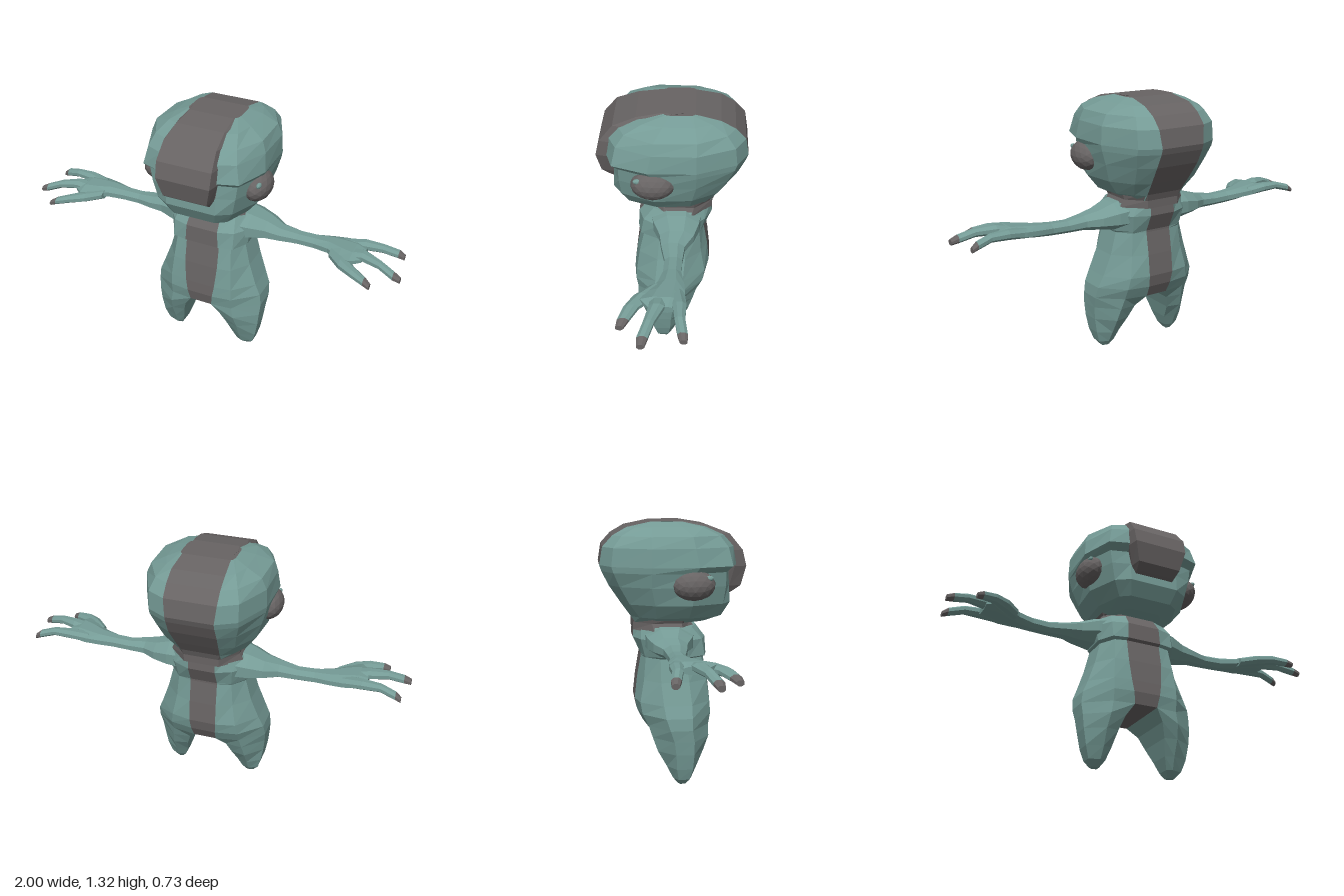
import * as THREE from 'three';

const skin = new THREE.MeshStandardMaterial({ color: 0x759b96, flatShading: true });
skin.name = 'tealSkin';
const grey = new THREE.MeshStandardMaterial({ color: 0x676363, flatShading: true });
grey.name = 'greyMarking';

// Skin a list of closed rings; paint(ring, side) returns 0 for skin, 1 for grey.
function loft(name, rings, paint = () => 0, capStart = 0, capEnd = 0) {
  const tris = [[], []];
  const add = (m, a, b, c) => tris[m].push([a, b, c]);
  const n = rings[0].length;
  for (let r = 0; r < rings.length - 1; r++) {
    for (let i = 0; i < n; i++) {
      const j = (i + 1) % n, m = paint(r, i);
      add(m, rings[r][i], rings[r][j], rings[r + 1][j]);
      add(m, rings[r][i], rings[r + 1][j], rings[r + 1][i]);
    }
  }
  const cap = (ring, m, flip) => {
    const c = [0, 1, 2].map(k => ring.reduce((s, p) => s + p[k], 0) / n);
    ring.forEach((p, i) => {
      const q = ring[(i + 1) % n];
      flip ? add(m, c, q, p) : add(m, c, p, q);
    });
  };
  cap(rings[0], capStart, true);
  cap(rings[rings.length - 1], capEnd, false);
  // Turn every face outward using the sign of the enclosed volume
  let volume = 0;
  for (const [a, b, c] of tris.flat()) {
    volume += a[0] * (b[1] * c[2] - b[2] * c[1]) + a[1] * (b[2] * c[0] - b[0] * c[2])
      + a[2] * (b[0] * c[1] - b[1] * c[0]);
  }
  const g = new THREE.BufferGeometry();
  const pos = [];
  tris.forEach((list, m) => {
    const start = pos.length / 3;
    for (const [a, b, c] of list) pos.push(...a, ...(volume > 0 ? b : c), ...(volume > 0 ? c : b));
    if (list.length) g.addGroup(start, list.length * 3, m);
  });
  g.setAttribute('position', new THREE.Float32BufferAttribute(pos, 3));
  g.computeVertexNormals();
  const mesh = new THREE.Mesh(g, [skin, grey]);
  mesh.name = name;
  return mesh;
}

// Full ring at height y from a right-hand half outline, front to back
const mirrored = (y, half) => [
  ...half.map(([x, z]) => [x, y, z]),
  ...[...half].reverse().map(([x, z]) => [-x, y, z]),
];

// Limb running along x from stations [x, y, z, half height, half depth]
function limb(name, side, stations, tip = false) {
  const rings = stations.map(([x, y, z, ry, rz]) => Array.from({ length: 8 }, (_, i) => {
    const a = (i + 0.5) * Math.PI / 4;
    return [side * x, y + ry * Math.sin(a) * 1.06, z + rz * Math.cos(a) * 1.06];
  }));
  const last = stations.length - 2;
  return loft(name, rings, r => (tip && r === last ? 1 : 0), 0, tip ? 1 : 0);
}

export function createModel() {
  const model = new THREE.Group();
  model.name = 'creature';

  // Head, with a grey band over the crown and down the back
  const head = [
    [0.82, [[.08, .17], [.11, .14], [.15, .05], [.15, -.08], [.12, -.16], [.10, -.19]]],
    [0.85, [[.11, .245], [.16, .21], [.21, .07], [.20, -.09], [.15, -.17], [.10, -.21]]],
    [0.92, [[.13, .285], [.20, .24], [.265, .08], [.25, -.10], [.18, -.22], [.11, -.26]]],
    [1.01, [[.13, .28], [.22, .25], [.285, .09], [.28, -.12], [.20, -.27], [.12, -.32]]],
    [1.08, [[.14, .275], [.23, .25], [.295, .09], [.30, -.12], [.22, -.30], [.12, -.355]]],
    [1.11, [[.14, .315], [.25, .28], [.31, .11], [.305, -.12], [.22, -.31], [.12, -.365]]],
    [1.20, [[.14, .30], [.23, .26], [.30, .09], [.30, -.12], [.22, -.30], [.13, -.35]]],
    [1.255, [[.14, .25], [.21, .22], [.28, .08], [.275, -.12], [.20, -.26], [.13, -.30]]],
    [1.295, [[.13, .16], [.18, .14], [.20, .04], [.20, -.11], [.17, -.19], [.13, -.23]]],
    [1.32, [[.12, .04], [.13, .03], [.135, .01], [.135, -.08], [.13, -.10], [.12, -.11]]],
  ];
  model.add(loft('head', head.map(([y, h]) => mirrored(y, h)),
    (r, i) => (i === 5 || (i === 11 && r > 2) ? 1 : 0), 0, 1));

  // Raised forehead plate: [height, half width, front depth]
  const plate = [[.955, .11, .27], [.97, .115, .30], [1.0, .125, .342], [1.10, .152, .365],
    [1.18, .155, .345], [1.26, .147, .28], [1.302, .135, .17], [1.322, .125, .05]];
  model.add(loft('foreheadPlate', plate.map(([y, w, z]) =>
    mirrored(y, [[w * .92, z], [w, z - .06], [w * .9, z - .12]])), () => 1, 1, 1));

  // Neck collar
  model.add(loft('neck', [
    mirrored(.78, [[.09, .12], [.19, .04], [.19, -.10], [.09, -.20]]),
    mirrored(.82, [[.09, .09], [.17, .04], [.17, -.11], [.09, -.20]]),
    mirrored(.86, [[.11, .12], [.19, .05], [.18, -.11], [.10, -.215]]),
  ], () => 1, 1, 1));

  // Torso, with grey stripes down the belly and the back
  const hips = [[.06, .185], [.17, .175], [.297, .08], [.297, -.03], [.18, -.13], [.06, -.15]];
  const torso = [
    [.30, hips],
    [.36, [[.07, .197], [.17, .185], [.29, .08], [.29, -.05], [.18, -.16], [.065, -.18]]],
    [.42, [[.08, .192], [.17, .18], [.265, .08], [.265, -.06], [.17, -.17], [.07, -.192]]],
    [.53, [[.09, .178], [.16, .165], [.225, .07], [.225, -.07], [.15, -.15], [.07, -.18]]],
    [.645, [[.09, .155], [.15, .14], [.195, .06], [.195, -.07], [.14, -.14], [.07, -.16]]],
    [.655, [[.09, .17], [.165, .155], [.21, .07], [.205, -.07], [.14, -.145], [.07, -.16]]],
    [.74, [[.085, .165], [.165, .14], [.22, .06], [.22, -.09], [.15, -.165], [.07, -.20]]],
    [.80, [[.08, .12], [.15, .09], [.18, .04], [.18, -.10], [.12, -.16], [.07, -.195]]],
  ];
  model.add(loft('torso', torso.map(([y, h]) => mirrored(y, h)),
    (r, i) => (i === 5 || i === 11 ? 1 : 0), 1, 0));

  for (const s of [1, -1]) {
    const sideName = s > 0 ? 'left' : 'right';

    // Leg, tapering from the hip outline to a small blunt foot
    const leg = [
      [.30, hips],
      [.24, [[.10, .165], [.18, .175], [.292, .09], [.29, -.01], [.19, -.11], [.10, -.10]]],
      [.17, [[.125, .135], [.19, .148], [.285, .09], [.282, 0], [.20, -.085], [.125, -.07]]],
      [.09, [[.145, .10], [.19, .115], [.27, .085], [.268, .005], [.20, -.04], [.145, -.02]]],
      [.03, [[.165, .075], [.195, .088], [.25, .07], [.25, .015], [.205, -.01], [.165, .005]]],
      [0, [[.185, .05], [.20, .055], [.225, .05], [.225, .025], [.205, .015], [.185, .02]]],
    ];
    model.add(loft(sideName + 'Leg', leg.map(([y, h]) => h.map(([x, z]) => [s * x, y, z]))));

    // Arm and palm
    model.add(limb(sideName + 'Arm', s, [
      [.13, .735, -.02, .08, .13], [.21, .73, -.025, .07, .115], [.29, .722, -.03, .05, .085],
      [.36, .714, -.015, .037, .058], [.45, .708, -.02, .03, .043], [.54, .71, -.018, .03, .044],
      [.62, .717, -.015, .03, .062], [.69, .722, .005, .03, .09], [.75, .728, .02, .028, .10],
      [.80, .725, .015, .018, .06],
    ]));

    // Three fingers with grey tips
    const fingers = [
      [[.68, .722, -.04, .024, .04], [.78, .735, -.06, .024, .032], [.87, .735, -.065, .02, .024],
        [.945, .715, -.08, .019, .023], [.972, .70, -.085, .013, .017]],
      [[.70, .722, .03, .024, .045], [.80, .738, .04, .024, .036], [.89, .73, .07, .02, .025],
        [.965, .705, .095, .019, .025], [1, .693, .10, .014, .018]],
      [[.64, .715, .04, .022, .04], [.71, .715, .10, .024, .05], [.78, .712, .155, .021, .034],
        [.85, .698, .187, .018, .026], [.882, .685, .20, .013, .018]],
    ];
    fingers.forEach((f, i) => model.add(limb(sideName + 'Finger' + (i + 1), s, f, true)));

    // Bulging eye with a small pale spot
    const eye = new THREE.Mesh(new THREE.IcosahedronGeometry(1, 2), grey);
    eye.name = sideName + 'Eye';
    eye.scale.set(.07, .076, .106);
    eye.position.set(s * .266, 1.022, .085);
    model.add(eye);
    const spot = new THREE.Mesh(new THREE.IcosahedronGeometry(1, 1), skin);
    spot.name = sideName + 'EyeSpot';
    spot.scale.set(.012, .014, .022);
    spot.position.set(s * .298, 1.058, .155);
    model.add(spot);
  }
  return model;
}
